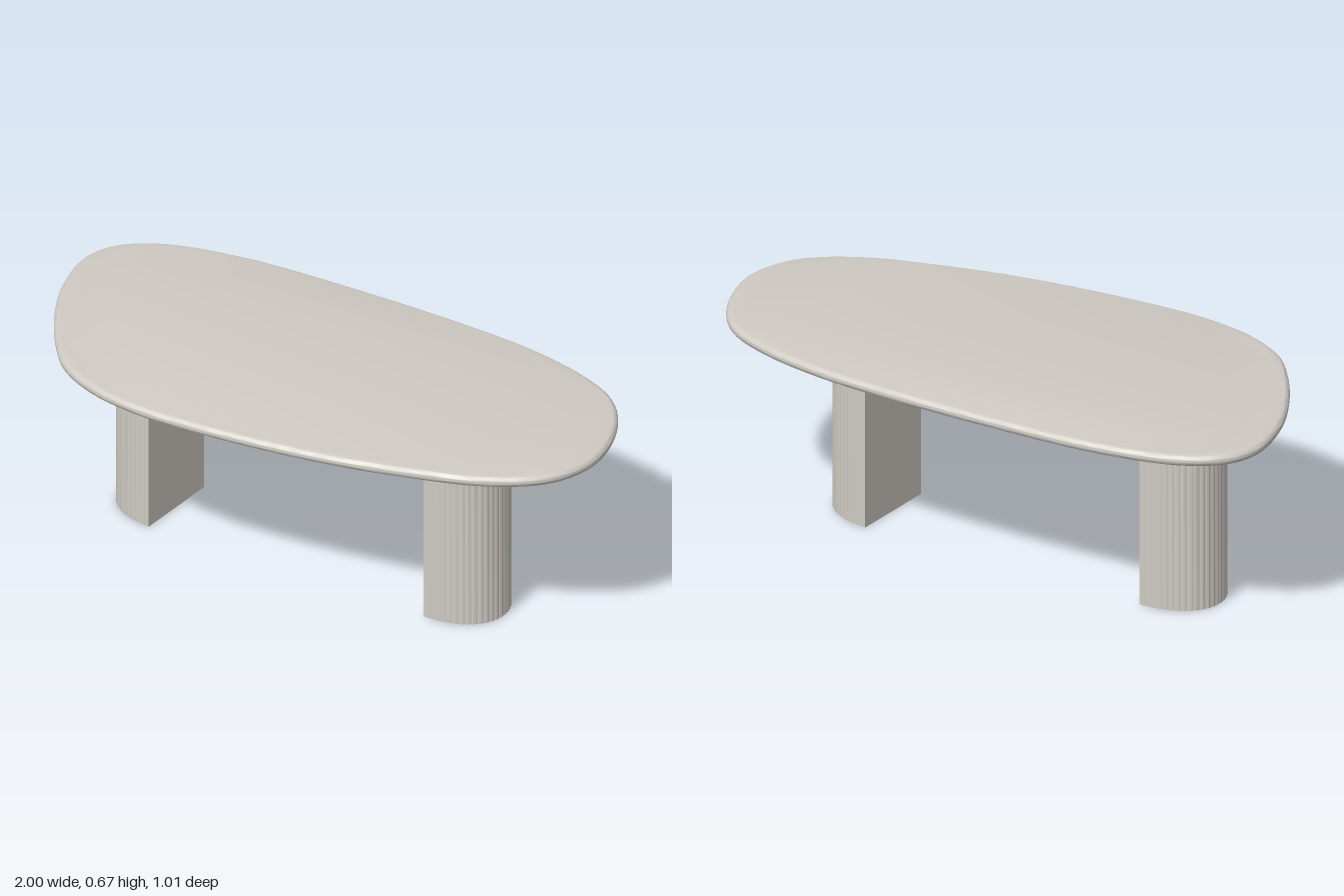
import * as THREE from 'three';
import { toCreasedNormals } from 'three/addons/utils/BufferGeometryUtils.js';

const TOP_Y = 0.672, THICKNESS = 0.037;

// Turns a plan outline (x, z) into a solid whose upper face lies at topY
function slab(points, topY, height, bevel = 0) {
  const round = height / 2 - 0.001;
  const geometry = new THREE.ExtrudeGeometry(new THREE.Shape(points), {
    depth: bevel ? 0.002 : height,
    bevelEnabled: bevel > 0,
    bevelThickness: round,
    bevelSize: bevel,
    bevelOffset: -bevel,
    bevelSegments: 8,
  });
  geometry.rotateX(Math.PI / 2);
  geometry.translate(0, topY - (bevel ? round : 0), 0);
  return toCreasedNormals(geometry, 0.6);
}

// Pebble-shaped plan of the tabletop
function topOutline() {
  const plan = [
    [-1, -0.16], [-0.965, -0.27], [-0.853, -0.364], [-0.6, -0.443], [-0.18, -0.488],
    [0.24, -0.506], [0.457, -0.499], [0.67, -0.463], [0.83, -0.395], [0.938, -0.267],
    [0.998, -0.08], [0.976, 0.053], [0.917, 0.144], [0.778, 0.246], [0.6, 0.32],
    [0.35, 0.4], [0.083, 0.457], [-0.184, 0.494], [-0.32, 0.502], [-0.505, 0.483],
    [-0.666, 0.417], [-0.773, 0.315], [-0.88, 0.17], [-0.96, 0.016],
  ].map(([x, z]) => new THREE.Vector3(x, z, 0));
  return new THREE.CatmullRomCurve3(plan, true).getSpacedPoints(160).slice(0, -1)
    .map((p) => new THREE.Vector2(p.x, p.y));
}

// Half-oval plan with shallow flutes; the flat side faces the middle of the table
function legOutline(side, flatX, centreZ) {
  const halfWidth = 0.148, depth = 0.199, flutes = 28, steps = 4;
  const oval = [];
  for (let i = 0; i <= 200; i++) {
    const a = -Math.PI / 2 + Math.PI * i / 200;
    const c = Math.max(0, Math.cos(a)), s = Math.sin(a);
    oval.push(new THREE.Vector3(depth * c ** 0.94, halfWidth * Math.sign(s) * Math.abs(s) ** 0.94, 0));
  }
  const curve = new THREE.CatmullRomCurve3(oval);
  curve.arcLengthDivisions = 800;
  const count = flutes * steps;
  return Array.from({ length: count + 1 }, (_, i) => {
    const p = curve.getPointAt(i / count), t = curve.getTangentAt(i / count);
    const inset = i === 0 || i === count ? 0 : 0.003 * (1 - Math.abs(Math.sin(Math.PI * i / steps)));
    const x = Math.max(0, p.x - t.y * inset), z = p.y + t.x * inset;
    return new THREE.Vector2(flatX + side * x, centreZ + z);
  });
}

export function createModel() {
  const group = new THREE.Group();
  group.name = 'coffeeTable';
  const stone = new THREE.MeshStandardMaterial({ color: 0xcfcac3 });
  stone.name = 'warm grey stone';

  const add = (name, geometry) => {
    const mesh = new THREE.Mesh(geometry, stone);
    mesh.name = name;
    group.add(mesh);
  };

  add('tabletop', slab(topOutline(), TOP_Y, THICKNESS, 0.02));

  // Two fluted legs, slightly staggered front to back
  const legHeight = TOP_Y - THICKNESS + 0.001;
  add('leftLeg', slab(legOutline(1, 0.465, -0.049), legHeight, legHeight));
  add('rightLeg', slab(legOutline(-1, -0.543, -0.005), legHeight, legHeight));

  return group;
}
